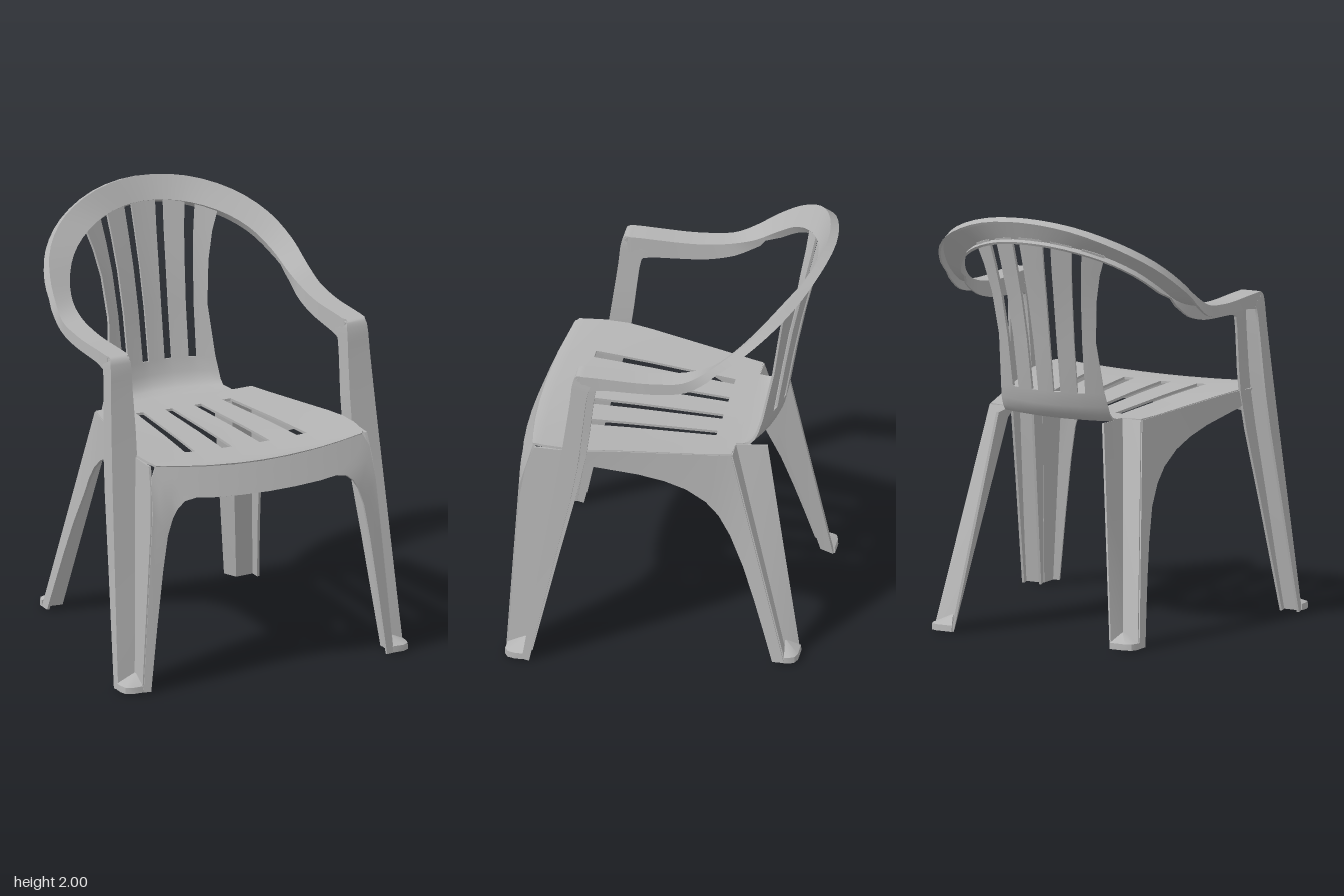
import * as THREE from 'three';
import { toCreasedNormals } from 'three/addons/utils/BufferGeometryUtils.js';

const V = (x, y, z) => new THREE.Vector3(x, y, z);
const { lerp: mix, clamp } = THREE.MathUtils;

// Thin shell of even thickness over a grid of points; skip(row, column) leaves openings
function shell(grid, skip = () => false, t = 0.012) {
  const cols = grid[0].length, faces = [];
  for (let r = 0; r < grid.length - 1; r++) {
    for (let c = 0; c < cols - 1; c++) {
      if (skip(r, c)) continue;
      const a = r * cols + c, b = a + 1, d = a + cols, e = d + 1;
      faces.push([a, d, b], [b, d, e]);
    }
  }
  const pts = grid.flat();
  const base = new THREE.BufferGeometry().setFromPoints(pts);
  base.setIndex(faces.flat());
  base.computeVertexNormals();
  const n = base.attributes.normal, N = pts.length;
  const layer = s => pts.map((p, i) => V(n.getX(i), n.getY(i), n.getZ(i)).multiplyScalar(s * t / 2).add(p));
  const index = [], edges = new Set();
  for (const [a, b, c] of faces) {
    index.push(a, b, c, a + N, c + N, b + N);
    for (const [p, q] of [[a, b], [b, c], [c, a]]) edges.add(p + ',' + q);
  }
  // Rim walls along the open edges
  for (const key of edges) {
    const [p, q] = key.split(',').map(Number);
    if (!edges.has(q + ',' + p)) index.push(p, p + N, q, q, p + N, q + N);
  }
  const g = new THREE.BufferGeometry().setFromPoints([...layer(1), ...layer(-1)]);
  g.setIndex(index);
  return toCreasedNormals(g, 0.65);
}

// Slot edges at the seat front, seat rear, foot of the back and top of the back
const slotKeys = [
  [0.07, 0.123, 0.262, 0.313], [0.055, 0.093, 0.203, 0.243],
  [0.04, 0.075, 0.155, 0.19], [0.062, 0.102, 0.2, 0.245]];
function slotEdges(y, z) {
  let k = clamp((0.47 - z) / 0.67, 0, 1) + Math.max(0, (-0.2 - z) / 0.288);
  if (y > 1.155) k = 2 + ((y - 1.155) / 0.745) ** 2;
  const i = Math.min(2, Math.floor(k));
  return slotKeys[i].map((x, j) => mix(x, slotKeys[i + 1][j], k - i));
}

export function createModel() {
  const model = new THREE.Group();
  model.name = 'plasticArmchair';
  const plastic = new THREE.MeshStandardMaterial({ color: 0xb4b4b4, side: THREE.DoubleSide });
  plastic.name = 'grey plastic';

  const add = (name, grid, skip) => {
    const mesh = new THREE.Mesh(shell(grid, skip), plastic);
    mesh.name = name;
    model.add(mesh);
  };
  const addPair = (name, grid) => {
    add(name + 'Left', grid);
    add(name + 'Right', grid.map(row => row.map(p => V(-p.x, p.y, p.z))));
  };

  // Seat and back in one sheet: y, z on the centre line, half width, x² curve of y and z
  const rows = [
    [1.025, 0.655, 0.53, 0.12, -0.16],
    [1.035, 0.638, 0.54, 0.1, -0.16],
    [1.038, 0.6, 0.548, 0.09, -0.14],
    [1.038, 0.47, 0.555, 0.09, 0],
    [1.036, 0.38, 0.555, 0.09, 0],
    [1.03, 0.2, 0.514, 0.09, 0],
    [1.01, -0.2, 0.425, 0.08, 0],
    [1.012, -0.3, 0.4, 0.05, 0],
    [1.012, -0.304, 0.3, 0.05, 0],
    [1.012, -0.37, 0.29, 0.05, 0.4],
    [1.025, -0.425, 0.285, 0, 0.75],
    [1.05, -0.453, 0.282, 0, 0.85],
    [1.09, -0.473, 0.28, 0, 0.9],
    [1.155, -0.488, 0.272, 0, 0.9],
    [1.4, -0.53, 0.255, 0, 0.9],
    [1.6, -0.57, 0.275, 0, 0.9],
    [1.76, -0.608, 0.305, -0.3, 0.9],
    [1.9, -0.64, 0.34, -0.6, 0.9],
  ];
  const seatGrid = rows.map(([y, z, edge, yq, zq]) => {
    const slots = slotEdges(y, z);
    const half = [...slots, (slots[3] + edge) / 2, edge];
    const xs = [...half.map(x => -x).reverse(), 0, ...half];
    return xs.map(x => V(x, y + yq * x * x, z + zq * x * x));
  });
  const slotColumns = [2, 4, 7, 9];
  add('seatAndSlattedBack', seatGrid, (r, c) =>
    slotColumns.includes(c) && ((r >= 3 && r < 6) || r >= 13));

  // Front apron running down into the front legs
  const frontZ = (x, y) => {
    const d = 1.04 - y;
    return 0.655 - 0.16 * x * x + 0.045 * clamp(d / 0.15, -0.2, 1) + 0.07 * d;
  };
  const legX = y => 0.555 + 0.08 * (1.06 - y);
  const valleyZ = y => 0.45 + 0.16 * (1.06 - y);
  const upper = [0, 0.15, 0.3, 0.4, 0.48, 0.53].map(x => [x, 1.025 + 0.12 * x * x])
    .concat([1, 0.85, 0.6, 0.3, 0].map(y => [legX(y), y]));
  const lower = [[0, 0.89], [0.14, 0.892], [0.27, 0.897], [0.36, 0.905], [0.415, 0.895], [0.45, 0.865],
    [0.477, 0.82], [0.503, 0.74], [0.53, 0.58], [0.568, 0.3], [0.605, 0]];
  const half = upper.map(([x, y], i) => [0, 0.33, 0.67, 1].map(t => {
    const px = mix(x, lower[i][0], t), py = mix(y, lower[i][1], t);
    return V(px, py, frontZ(px, py));
  }));
  add('frontApronAndLegFronts', [
    ...half.slice(1).reverse().map(row => row.map(p => V(-p.x, p.y, p.z))), ...half]);

  // Side web of the front leg, from the front corner back to the arm post
  addPair('frontLegSide', [1.06, 0.95, 0.8, 0.5, 0.25, 0].map(y =>
    [V(legX(y), y, frontZ(legX(y), y)), V(legX(y), y, valleyZ(y))]));

  // Posts and arms: y, z, outer x, inner x, outer and inner lip depth
  const armStations = [
    [0, 0.62, 0.73, 0.64, 0.03, 0.03],
    [0.53, 0.535, 0.704, 0.597, 0.055, 0.065],
    [1.06, 0.452, 0.678, 0.556, 0.08, 0.1],
    [1.38, 0.408, 0.662, 0.558, 0.07, 0.095],
    [1.505, 0.393, 0.656, 0.56, 0.08, 0.12],
    [1.532, 0.378, 0.655, 0.56, 0.085, 0.135],
    [1.535, 0.34, 0.655, 0.56, 0.075, 0.115],
    [1.533, 0.24, 0.655, 0.56, 0.055, 0.092],
    [1.53, 0.1, 0.655, 0.56, 0.05, 0.08],
    [1.535, 0, 0.655, 0.56, 0.05, 0.075],
    [1.553, -0.12, 0.655, 0.56, 0.045, 0.06],
  ].map(([y, z, xo, xi, lo, li]) => [V(xo, y, z), V(xi, y, z), V(lo, li, 0)]);
  // Hoop over the back: outer edge, inner edge
  const hoopStations = [
    [[0.645, 1.61, -0.22], [0.55, 1.595, -0.24]],
    [[0.623, 1.7, -0.33], [0.52, 1.668, -0.34]],
    [[0.56, 1.803, -0.455], [0.45, 1.755, -0.44]],
    [[0.43, 1.898, -0.57], [0.33, 1.828, -0.53]],
    [[0.23, 1.97, -0.652], [0.17, 1.875, -0.607]],
    [[0, 1.995, -0.685], [0, 1.89, -0.635]],
  ].map(([o, i]) => [V(...o), V(...i), V(0.036, 0.034, 0)]);
  const stations = [...armStations, ...hoopStations];
  const curveOf = (k, flip) => {
    const side = stations.map(s => s[k]);
    const other = side.slice(0, -1).reverse().map(p => V(flip * p.x, p.y, p.z));
    return new THREE.CatmullRomCurve3([...side, ...other]);
  };
  const outer = curveOf(0, -1), inner = curveOf(1, -1), lips = curveOf(2, 1);
  const mid = t => outer.getPoint(t).add(inner.getPoint(t));
  const steps = (stations.length - 1) * 2 * 3;
  const ring = [];
  for (let i = 0; i <= steps; i++) {
    const t = i / steps, o = outer.getPoint(t), n = inner.getPoint(t), d = lips.getPoint(t);
    const along = mid(Math.min(1, t + 0.004)).sub(mid(Math.max(0, t - 0.004)));
    const down = n.clone().sub(o).cross(along).normalize();
    ring.push([o.clone().addScaledVector(down, d.x), o, n, n.clone().addScaledVector(down, d.y)]);
  }
  add('armsAndHoop', ring);

  // Side apron sweeping down into the rear leg
  const sideX = (y, z) => 0.4 + 0.228 * Math.max(0, z + 0.3) + 0.137 * Math.max(0, 1.02 - y);
  const edgeZ = y => -0.3 - 0.27 * (1.02 - y);
  const seatY = z => 1.02 + 0.044 * Math.min(1, (z + 0.3) / 0.6);
  const top = [0.44, 0.36, 0.25, 0.12, 0, -0.1, -0.2, -0.3].map(z => [seatY(z), z])
    .concat([0.85, 0.62, 0.38, 0.2, 0].map(y => [y, edgeZ(y)]));
  const bottom = [[1.01, 0.4], [0.985, 0.345], [0.965, 0.25], [0.937, 0.12], [0.9, 0], [0.855, -0.1],
    [0.79, -0.19], [0.72, -0.25], [0.62, -0.305], [0.47, -0.37], [0.31, -0.425], [0.15, -0.475], [0, -0.52]];
  addPair('sideApronAndRearLegSide', top.map(([y, z], i) => {
    const [by, bz] = bottom[i];
    return [V(sideX(y, z), y, z), V(sideX(by, bz), by, bz)];
  }));

  // Rear leg channel: outer edge, inner valley, rear edge
  addPair('rearLegChannel', [1.02, 0.7, 0.35, 0].map(y => {
    const d = 1.02 - y;
    return [V(0.4 + 0.137 * d, y, edgeZ(y)), V(0.3 + 0.147 * d, y, -0.3 - 0.26 * d),
      V(0.28 + 0.137 * d, y, -0.45 - 0.175 * d)];
  }));

  // Foot pads: a sloped fan from the valley to a short rounded rim
  const foot = (name, apex, rim) => addPair(name, [
    rim.map(([x, z]) => V(x, 0.025, z).lerp(apex, 0.97)),
    rim.map(([x, z]) => V(x, 0.025, z)),
    rim.map(([x, z]) => V(x, 0, z)),
  ]);
  foot('frontFoot', V(0.64, 0.065, 0.62), [[0.64, 0.705], [0.695, 0.705], [0.722, 0.69], [0.73, 0.66], [0.73, 0.62]]);
  foot('rearFoot', V(0.45, 0.065, -0.565), [[0.42, -0.629], [0.5, -0.629], [0.527, -0.62], [0.538, -0.6], [0.54, -0.575]]);

  return model;
}
